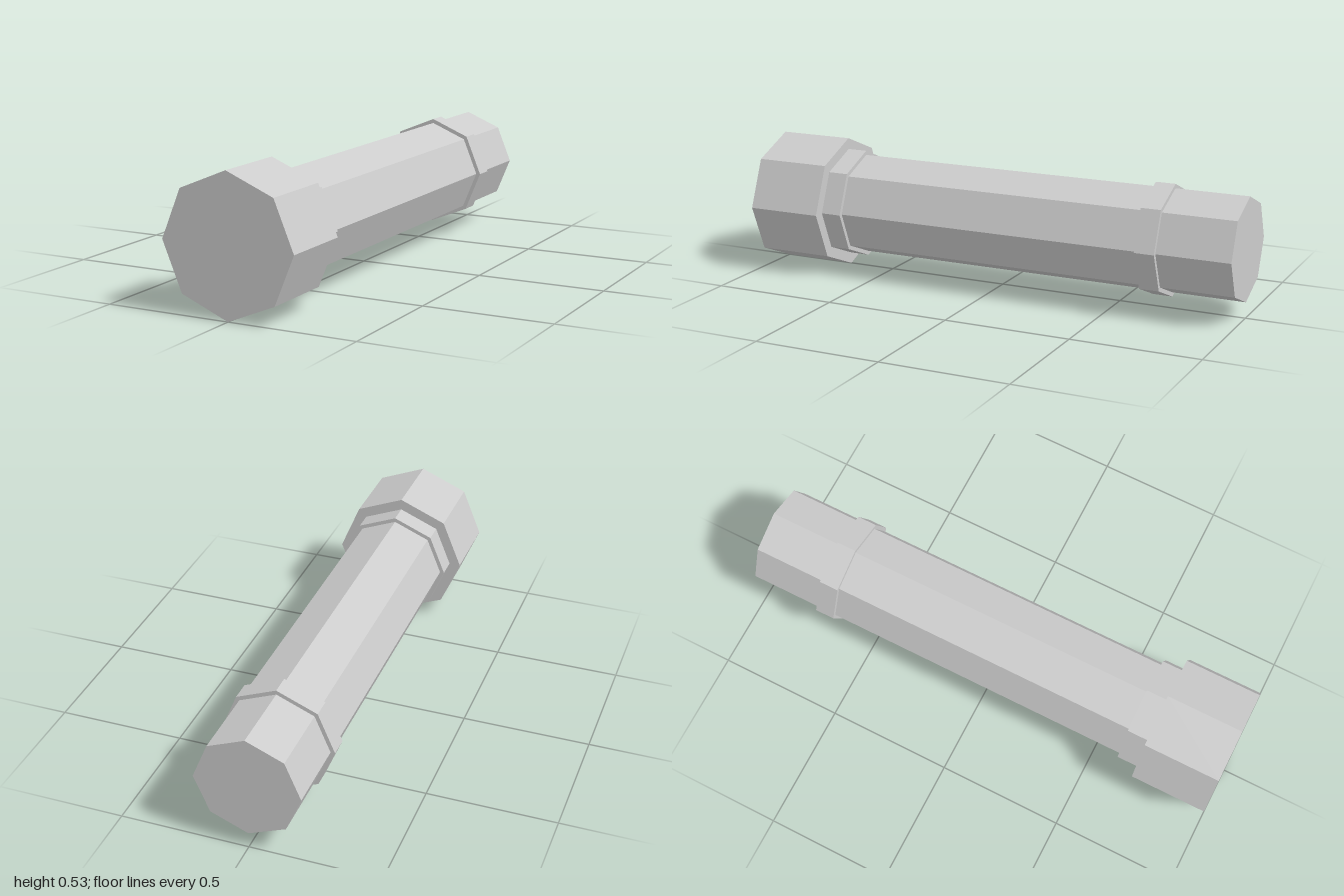
import * as THREE from 'three';

const AXIS_HEIGHT = 0.265;

export function createModel() {
  const group = new THREE.Group();
  group.name = 'handle';

  const grey = new THREE.MeshStandardMaterial({ color: 0xcccccc, flatShading: true });
  grey.name = 'light grey';

  // Eight-sided section lying along z, with corners at top and bottom
  function section(name, radius, zBack, zFront) {
    const geometry = new THREE.CylinderGeometry(radius, radius, zFront - zBack, 8);
    geometry.rotateX(Math.PI / 2);
    const mesh = new THREE.Mesh(geometry, grey);
    mesh.name = name;
    mesh.position.set(0, AXIS_HEIGHT, (zBack + zFront) / 2);
    group.add(mesh);
  }

  section('shaft', 0.203, -1, 0.7);
  section('rearCollar', 0.22, -0.712, -0.634);
  section('frontCollar', 0.22, 0.615, 0.7);
  section('head', 0.265, 0.697, 1);

  return group;
}
